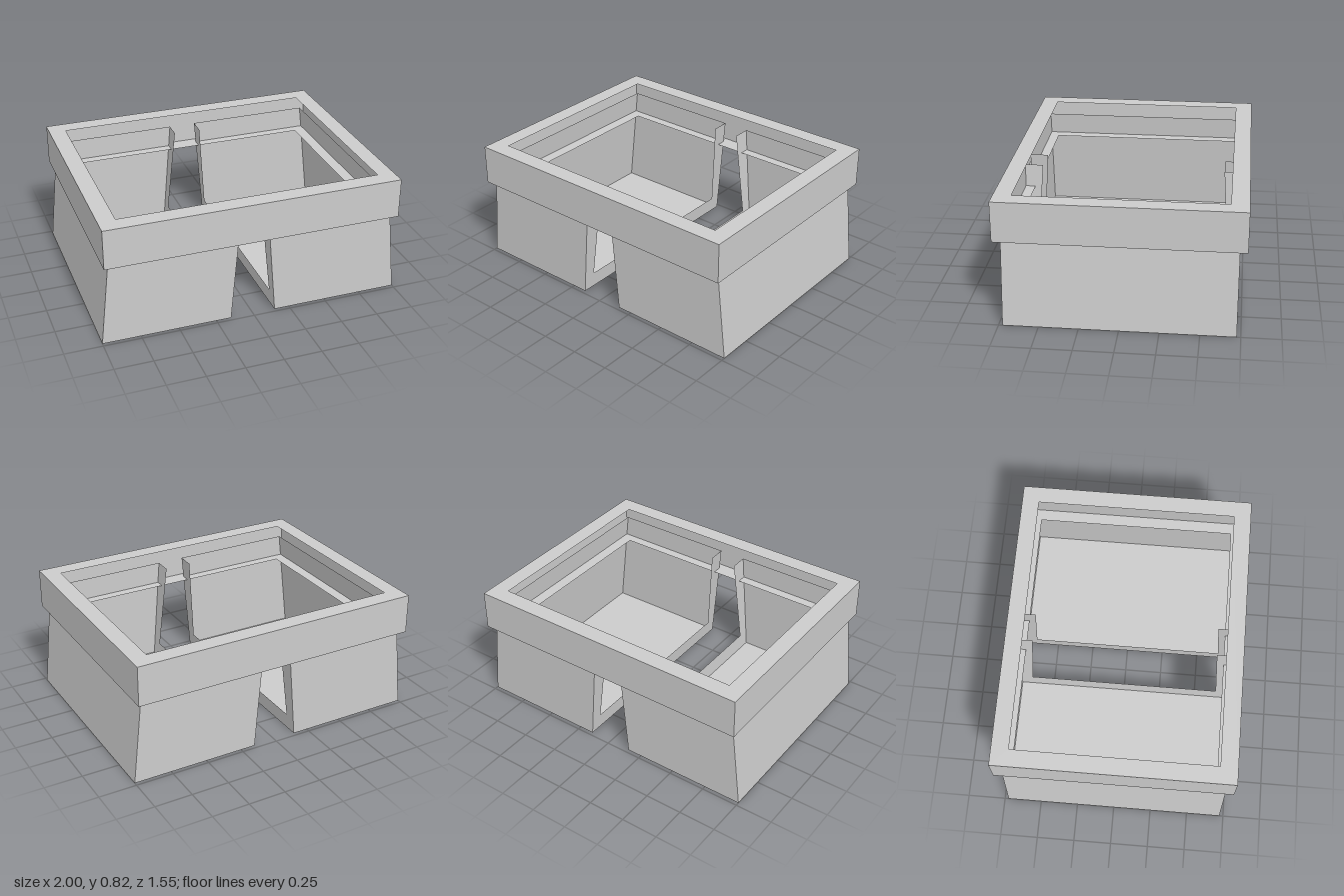
import * as THREE from 'three';

const material = new THREE.MeshStandardMaterial({ color: 0xcccccc, side: THREE.DoubleSide, flatShading: true });

// Thin sheet from four-cornered panels
function panels(name, quads) {
  const geo = new THREE.BufferGeometry();
  const pos = quads.flatMap(([a, b, c, d]) => [a, b, c, a, c, d].flat());
  geo.setAttribute('position', new THREE.Float32BufferAttribute(pos, 3));
  geo.computeVertexNormals();
  const mesh = new THREE.Mesh(geo, material);
  mesh.name = name;
  return mesh;
}

// Corners of a rectangle at height y
const ring = (x, z, y) => [[-x, y, z], [x, y, z], [x, y, -z], [-x, y, -z]];

// Panels joining two closed loops of corners, a below b
const band = (a, b) => a.map((p, i) => {
  const j = (i + 1) % a.length;
  return [p, a[j], b[j], b[i]];
});

// Hollow rim: outer wall with an inward lip at the top and a ledge at the bottom
function createRim() {
  const [X, Z, x, z, low, high] = [0.975, 0.773, 0.863, 0.66, 0.56, 0.825];
  const rim = new THREE.Group();
  rim.name = 'rim';
  rim.add(
    panels('rimWall', band(ring(X, Z, low), ring(X, Z, high))),
    panels('rimLip', band(ring(X, Z, high), ring(x, z, high))),
    panels('rimLedge', band(ring(x, z, low), ring(X, Z, low)))
  );
  return rim;
}

// Open-topped bin with sloping sides and an opening towards the middle
function createBin(side) {
  const H = 0.71, Z = 0.725;
  const inner = y => side * (0.15 - 0.0824 * y);
  const outer = y => side * (1 - 0.107 * y);
  const loop = y => {
    const pts = [[inner(y), y, Z], [outer(y), y, Z], [outer(y), y, -Z], [inner(y), y, -Z]];
    return side > 0 ? pts : pts.reverse();
  };
  const bottom = loop(0);
  const walls = band(bottom, loop(H)).filter(q => q[0][0] !== q[1][0] || q[0][0] !== inner(0));

  // Border around the opening, following the slope of the inner side
  const sill = 0.105, zLow = 0.645, zHigh = 0.605;
  const at = (y, z) => [inner(y), y, z];
  const border = [[at(0, -Z), at(0, Z), at(sill, zLow), at(sill, -zLow)]];
  for (const s of [-1, 1]) {
    border.push([at(0, s * Z), at(H, s * Z), at(H, s * zHigh), at(sill, s * zLow)]);
  }
  if (side < 0) border.forEach(q => q.reverse());

  const bin = new THREE.Group();
  bin.name = side > 0 ? 'leftBin' : 'rightBin';
  bin.add(
    panels('binWalls', walls),
    panels('binFloor', [[...bottom].reverse()]),
    panels('openingBorder', border)
  );
  return bin;
}

export function createModel() {
  const model = new THREE.Group();
  model.name = 'doubleBin';
  model.add(createRim(), createBin(1), createBin(-1));
  return model;
}
